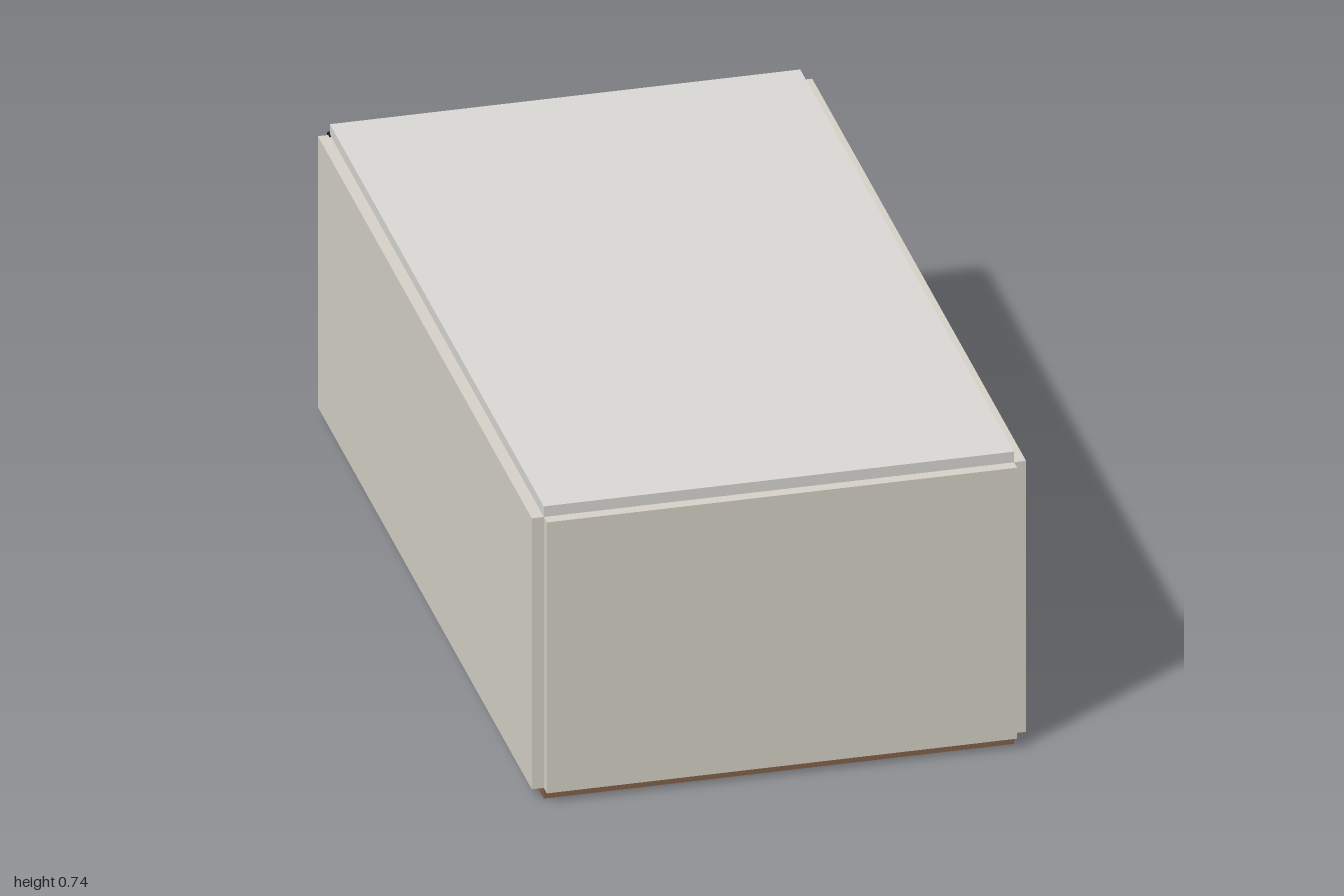
import * as THREE from 'three';

export function createModel() {
  const group = new THREE.Group();
  group.name = 'room';

  const material = (color) => new THREE.MeshStandardMaterial({ color });
  const wall = material(0xd8d4ca);
  const ceiling = material(0xdcdad6);
  const wood = material(0x85624a);
  const frame = material(0x1e2024);
  const glass = material(0x9fb2c6);

  // Box given by its lower and upper corners
  function box(name, mat, [x0, y0, z0], [x1, y1, z1]) {
    const mesh = new THREE.Mesh(new THREE.BoxGeometry(x1 - x0, y1 - y0, z1 - z0), mat);
    mesh.position.set((x0 + x1) / 2, (y0 + y1) / 2, (z0 + z1) / 2);
    mesh.name = name;
    group.add(mesh);
  }

  const w = 0.55, t = 0.028;            // inner half width, wall thickness
  const bottom = 0.027, top = 0.717;    // inner floor and ceiling heights
  const back = -0.988, front = 0.972;

  // Shell: slabs and walls meet at their inner edges
  box('floor', wood, [-w, 0, back], [w, bottom, front]);
  box('ceiling', ceiling, [-w, top, back], [w, top + 0.027, front]);
  box('frontWall', wall, [-w, bottom, front], [w, top, 1]);
  box('leftWall', wall, [w, bottom, back], [w + t, top, front]);
  box('rightWall', wall, [-w - t, bottom, back], [-w, top, front]);

  // Window across the open back
  box('windowGlass', glass, [-w, bottom, back - 0.003], [w, top, back + 0.003]);
  const zOut = -1, zIn = back + 0.012;
  box('frameBottom', frame, [-w - 0.004, bottom - 0.002, zOut], [w + 0.004, bottom + 0.02, zIn]);
  box('frameTop', frame, [-w - 0.004, top - 0.02, zOut], [w + 0.004, top + 0.002, zIn]);
  for (let i = 0; i <= 3; i++) {
    const x = -0.545 + (i * 1.09) / 3;
    box(i % 3 ? 'mullion' : 'frameSide', frame,
      [x - 0.01, bottom + 0.02, zOut + 0.001], [x + 0.01, top - 0.02, zIn]);
  }

  return group;
}
